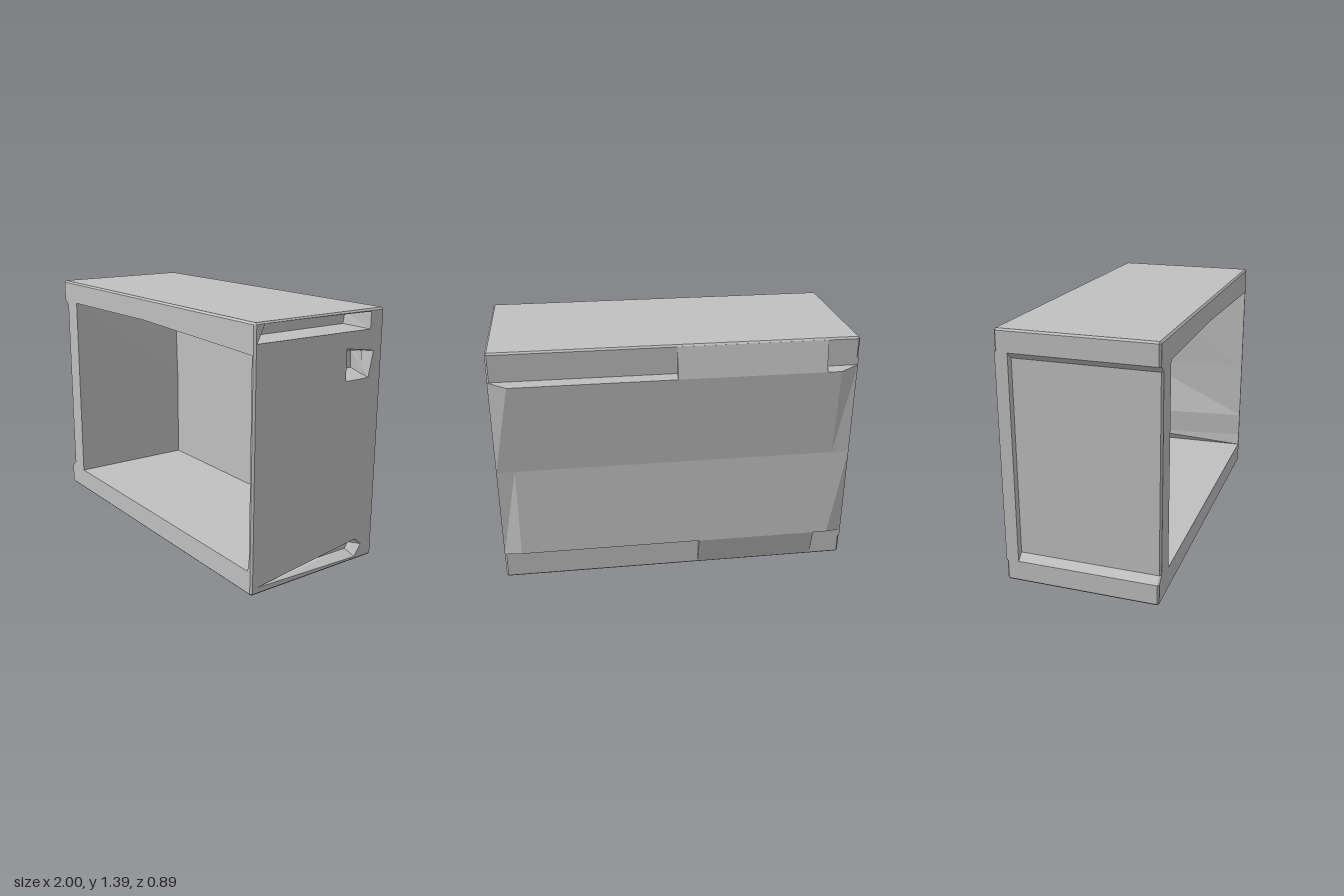
import * as THREE from 'three';
import { mergeGeometries } from 'three/addons/utils/BufferGeometryUtils.js';

const casing = new THREE.MeshStandardMaterial({ color: 0xc0c0c0 });
casing.name = 'casingGrey';

// Flat-shaded faces from loops of [x, y, z] corners, counter-clockwise from outside
function faces(polys) {
  const pos = [];
  for (const p of polys)
    for (let i = 1; i < p.length - 1; i++) pos.push(...p[0], ...p[i], ...p[i + 1]);
  const g = new THREE.BufferGeometry();
  g.setAttribute('position', new THREE.Float32BufferAttribute(pos, 3));
  g.computeVertexNormals();
  return g;
}

// Quads joining two matching rings
function loft(a, b, skip = () => false) {
  const polys = [];
  a.forEach((p, i) => {
    const j = (i + 1) % a.length;
    if (!skip(p, a[j])) polys.push([p, a[j], b[j], b[i]]);
  });
  return polys;
}

// Flat sheet with holes, drawn in 2D
function sheet(outline, holes = []) {
  const toVecs = (pts) => pts.map(([x, y]) => new THREE.Vector2(x, y));
  const s = new THREE.Shape(toVecs(outline));
  for (const h of holes) s.holes.push(new THREE.Path(toVecs(h)));
  const g = new THREE.ShapeGeometry(s).toNonIndexed();
  g.deleteAttribute('uv');
  return g;
}

const atZ = (pts, z) => pts.map(([x, y]) => [x, y, z]);
const atX = (pts, x) => pts.map(([z, y]) => [x, y, z]);

export function createModel() {
  const group = new THREE.Group();
  group.name = 'openCabinet';
  const add = (name, ...geos) => {
    const m = new THREE.Mesh(geos.length > 1 ? mergeGeometries(geos) : geos[0], casing);
    m.name = name;
    group.add(m);
    return m;
  };

  // Outer hull, with a recessed panel along the -x side
  const outline = [[-0.99, 0], [0.99, 0], [1, 0.01], [1, 1.38], [0.99, 1.39], [-0.99, 1.39],
    [-1, 1.38], [-1, 1.27], [-0.96, 1.235], [-0.96, 0.155], [-1, 0.12], [-1, 0.01]];
  const inset = outline.map(([x, y]) => [
    x - 0.01 * Math.sign(x), y < 0.02 ? Math.max(y, 0.01) : Math.min(y, 1.38)]);
  const isRight = (p, q) => p[0] === 1 && q[0] === 1;
  add('outerHull', faces([
    ...loft(atZ(inset, -0.405), atZ(outline, -0.395)),
    ...loft(atZ(outline, -0.395), atZ(outline, 0.435), isRight),
    ...loft(atZ(outline, 0.435), atZ(inset, 0.445)),
    [[0.99, 0.01, -0.405], [-0.99, 0.01, -0.405], [-0.99, 1.38, -0.405], [0.99, 1.38, -0.405]],
  ]));

  // Post closing the side recess at the back
  const post = add('rearPost', new THREE.BoxGeometry(0.05, 1.16, 0.07));
  post.position.set(-0.975, 0.695, -0.37);

  // Front frame and the cavity behind it
  const mouth = [[-0.83, 0.13], [0.97, 0.13], [0.98, 0.2], [0.98, 0.35], [0.98, 0.7],
    [0.98, 1.235], [0, 1.267], [-0.01, 1.267], [-0.83, 1.26], [-0.83, 0.7]];
  const rear = [[-0.8, 0.135], [0.92, 0.135], [0.88, 0.2], [0.88, 0.35], [0.975, 0.7],
    [0.95, 1.235], [0, 1.235], [-0.01, 1.262], [-0.825, 1.262], [-0.8, 0.7]];
  add('frontFrame', sheet(inset, [mouth])).position.z = 0.445;
  add('cavityWalls', faces(loft(atZ(mouth, 0.445), atZ(rear, -0.3))));
  add('cavityBack', sheet(rear)).position.z = -0.3;

  // Pockets sunk into the +x wall: rim and floor corners as [z, y]
  const pockets = [
    { name: 'upperSlot', x: 0.82,
      rim: [[0.43, 1.29], [-0.31, 1.285], [-0.31, 1.375], [0.385, 1.383]],
      floor: [[0.39, 1.29], [-0.29, 1.29], [-0.3, 1.355], [0.385, 1.38]] },
    { name: 'gripPocket', x: 0.885,
      rim: [[-0.15, 1.03], [-0.31, 1.03], [-0.34, 1.17], [-0.15, 1.2]],
      floor: [[-0.17, 1.065], [-0.295, 1.065], [-0.29, 1.16], [-0.18, 1.17]] },
    { name: 'lowerSlot', x: 0.94,
      rim: [[0.41, 0.04], [-0.275, 0.02], [-0.32, 0.085], [-0.275, 0.125]],
      floor: [[0.3, 0.05], [-0.26, 0.05], [-0.28, 0.085], [-0.265, 0.115]] },
  ];
  for (const { name, x, rim, floor } of pockets) {
    const inner = atX(floor, x);
    add(name, faces([...loft(atX(rim, 1), inner), inner]));
  }
  const wall = add('sideWall', sheet(
    [[-0.435, 0.01], [0.395, 0.01], [0.395, 1.38], [-0.435, 1.38]],
    pockets.map(({ rim }) => rim.map(([z, y]) => [-z, y]))));
  wall.rotation.y = Math.PI / 2;
  wall.position.x = 1;

  // Housing of the grip pocket, seen inside the cavity
  const base = atX([[-0.14, 0.99], [-0.3, 0.99], [-0.3, 1.235], [-0.14, 1.235]], 0.975);
  const tip = atX([[-0.16, 1.03], [-0.3, 1.03], [-0.3, 1.235], [-0.16, 1.235]], 0.87);
  add('gripHousing', faces([...loft(tip, base), tip.slice().reverse()]));

  // Back panel: two raised halves meeting in a crease, mirrored about mid height
  const raised = (flip, rampEnd) => {
    const Z = -0.445, F = -0.406, mid = 0.695;
    const polys = [
      [[0.9, mid, F], [-0.9, mid, F], [-0.9, 1.21, Z], [0.9, 1.21, Z]],
      [[1, mid, F], [0.9, mid, F], [0.9, 1.21, Z], [1, 1.23, F]],
      [[-0.9, mid, F], [-1, mid, F], [-1, 1.23, F], [-0.9, 1.21, Z]],
      [[0.9, 1.21, Z], [-0.9, 1.21, Z], [-1, 1.23, F], [1, 1.23, F]],
      // Ramp from the ledge to the outer edge, with its two ends
      [[rampEnd, 1.21, Z], [-0.82, 1.21, Z], [-0.82, 1.38, F], [rampEnd, 1.38, F]],
      [[rampEnd, 1.21, Z], [rampEnd, 1.38, F], [rampEnd, 1.21, F]],
      [[-0.82, 1.21, Z], [-0.82, 1.21, F], [-0.82, 1.38, F]],
    ];
    if (!flip) return polys;
    return polys.map((p) => p.map(([x, y, z]) => [x, 1.39 - y, z]).reverse());
  };
  add('upperBackPanel', faces(raised(false, 0)));
  add('lowerBackPanel', faces(raised(true, -0.13)));

  return group;
}
